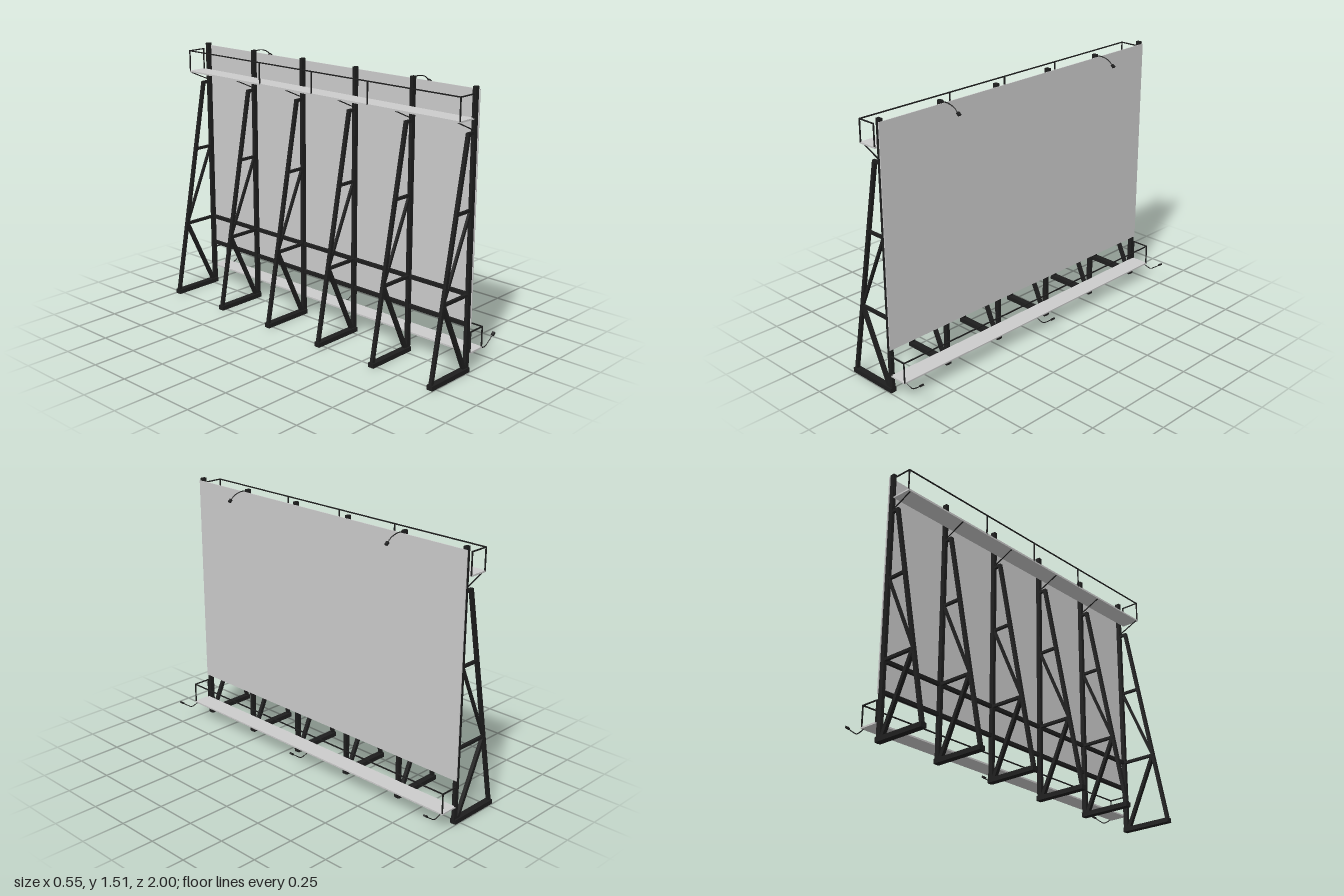
import * as THREE from 'three';

const grey = new THREE.MeshStandardMaterial({ color: 0xcccccc });
const dark = new THREE.MeshStandardMaterial({ color: 0x1e1e1e });
const POSTS = [-0.98, -0.588, -0.196, 0.196, 0.588, 0.98];

function box(parent, name, size, pos, mat = dark) {
  const mesh = new THREE.Mesh(new THREE.BoxGeometry(...size), mat);
  mesh.name = name;
  mesh.position.set(...pos);
  parent.add(mesh);
  return mesh;
}

// Square bar between two points of the x-y plane at depth z
function bar(parent, name, [x0, y0], [x1, y1], z, t, depth = t) {
  const dx = x1 - x0, dy = y1 - y0;
  const mesh = box(parent, name, [Math.hypot(dx, dy), t, depth], [(x0 + x1) / 2, (y0 + y1) / 2, z]);
  mesh.rotation.z = Math.atan2(dy, dx);
}

// Upright post with its triangulated rear support
function truss(z) {
  const g = new THREE.Group();
  g.name = 'supportTruss';
  box(g, 'post', [0.027, 1.515, 0.02], [0.0235, 0.7575, z]);
  box(g, 'baseBeam', [0.315, 0.026, 0.036], [-0.1225, 0.013, z]);
  bar(g, 'rearLeg', [-0.27, 0.015], [-0.025, 1.288], z, 0.019);
  bar(g, 'topTie', [-0.033, 1.283], [0.015, 1.283], z, 0.016);
  bar(g, 'upperTie', [-0.1, 0.885], [0.015, 0.885], z, 0.015);
  bar(g, 'lowerTie', [-0.188, 0.432], [0.015, 0.432], z, 0.016);
  bar(g, 'lowerDiagonal', [0.005, 0.02], [-0.188, 0.432], z, 0.02);
  bar(g, 'upperDiagonal', [-0.188, 0.432], [0.014, 0.885], z, 0.014);
  return g;
}

// Walkway with a rail round its outer edge and both ends
function catwalk(name, inner, outer, y, railY, stanchions) {
  const g = new THREE.Group();
  g.name = name;
  const t = 0.006, end = 0.992, mid = (inner + outer) / 2, w = Math.abs(outer - inner);
  const edge = outer - Math.sign(outer - inner) * t / 2;
  const near = inner + Math.sign(outer - inner) * t / 2;
  const h = railY - y;
  box(g, 'walkway', [w, 0.009, 1.99], [mid, y, 0], grey);
  box(g, 'handrail', [t, t, 2 * end], [edge, railY, 0]);
  for (const z of [-end, end]) {
    box(g, 'endRail', [w, t, t], [mid, railY, z]);
    for (const x of [edge, near]) box(g, 'endUpright', [t, h, t], [x, y + h / 2, z]);
  }
  for (const z of stanchions) box(g, 'stanchion', [t, h, t], [edge, y + h / 2, z]);
  return g;
}

// Bent arm with a small lamp head at its tip
function lamp(points, z) {
  const g = new THREE.Group();
  g.name = 'lamp';
  const pts = points.map(([x, y]) => new THREE.Vector3(x, y, z));
  const curve = new THREE.CatmullRomCurve3(pts);
  const arm = new THREE.Mesh(new THREE.TubeGeometry(curve, 16, 0.0028, 6), dark);
  arm.name = 'lampArm';
  g.add(arm);
  const dir = curve.getTangent(1), tip = pts[pts.length - 1];
  const head = box(g, 'lampHead', [0.02, 0.011, 0.016], [tip.x, tip.y, z]);
  head.rotation.z = Math.atan2(dir.y, dir.x);
  return g;
}

export function createModel() {
  const model = new THREE.Group();
  model.name = 'billboard';

  // Display panel and the beams behind it
  box(model, 'panel', [0.005, 1.243, 1.992], [0.0375, 0.8785, 0], grey);
  for (const y of [0.265, 0.432]) box(model, 'crossBeam', [0.018, 0.02, 1.98], [0.024, y, 0]);

  for (const z of POSTS) {
    model.add(truss(z));
    bar(model, 'catwalkBrace', [-0.113, 1.354], [0.012, 1.298], z, 0.005);
  }

  // Service walkways: high behind the panel, low in front of it
  model.add(catwalk('upperCatwalk', -0.003, -0.116, 1.359, 1.482, [-0.4, 0, 0.4]));
  model.add(catwalk('lowerCatwalk', 0.037, 0.145, 0.104, 0.222, []));

  // Lamps above and below the panel
  for (const z of [-0.588, 0.588])
    model.add(lamp([[0.03, 1.509], [0.08, 1.51], [0.125, 1.497], [0.157, 1.472]], z));
  for (const z of [-0.98, 0, 0.98])
    model.add(lamp([[0.14, 0.101], [0.188, 0.089], [0.22, 0.107], [0.263, 0.14]], z));

  return model;
}
